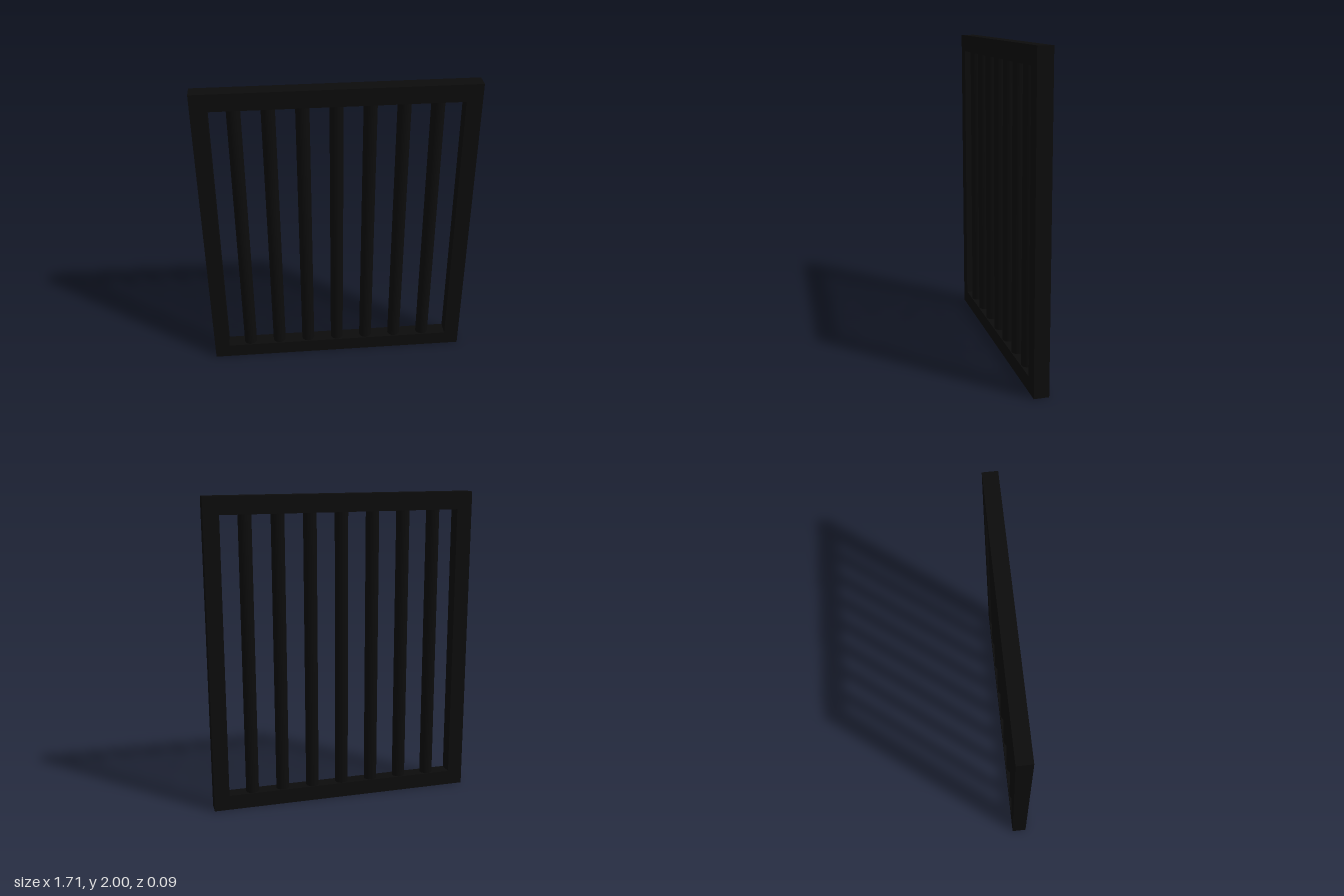
import * as THREE from 'three';

export function createModel() {
  const group = new THREE.Group();
  const iron = new THREE.MeshStandardMaterial({ color: 0x0c0c0c });

  const W = 1.712, H = 2, D = 0.094;      // overall frame size
  const side = 0.098, top = 0.11, bottom = 0.096; // frame member widths

  // Rectangular frame with one opening
  const outline = new THREE.Shape([
    new THREE.Vector2(-W / 2, 0), new THREE.Vector2(W / 2, 0),
    new THREE.Vector2(W / 2, H), new THREE.Vector2(-W / 2, H),
  ]);
  const inner = W / 2 - side;
  outline.holes.push(new THREE.Path([
    new THREE.Vector2(-inner, bottom), new THREE.Vector2(-inner, H - top),
    new THREE.Vector2(inner, H - top), new THREE.Vector2(inner, bottom),
  ]));
  const frameGeometry = new THREE.ExtrudeGeometry(outline, { depth: D, bevelEnabled: false });
  frameGeometry.translate(0, 0, -D / 2);
  const frame = new THREE.Mesh(frameGeometry, iron);
  frame.name = 'frame';
  group.add(frame);

  // Seven evenly spaced round bars, let slightly into the frame
  const barCount = 7, spacing = 0.2015, embed = 0.01;
  const barLength = H - top - bottom + 2 * embed;
  const barGeometry = new THREE.CylinderGeometry(0.042, 0.042, barLength, 20);
  const bars = new THREE.Group();
  bars.name = 'bars';
  for (let i = 0; i < barCount; i++) {
    const bar = new THREE.Mesh(barGeometry, iron);
    bar.name = `bar${i + 1}`;
    bar.position.set((i - (barCount - 1) / 2) * spacing - 0.004, bottom - embed + barLength / 2, 0);
    bars.add(bar);
  }
  group.add(bars);

  return group;
}
